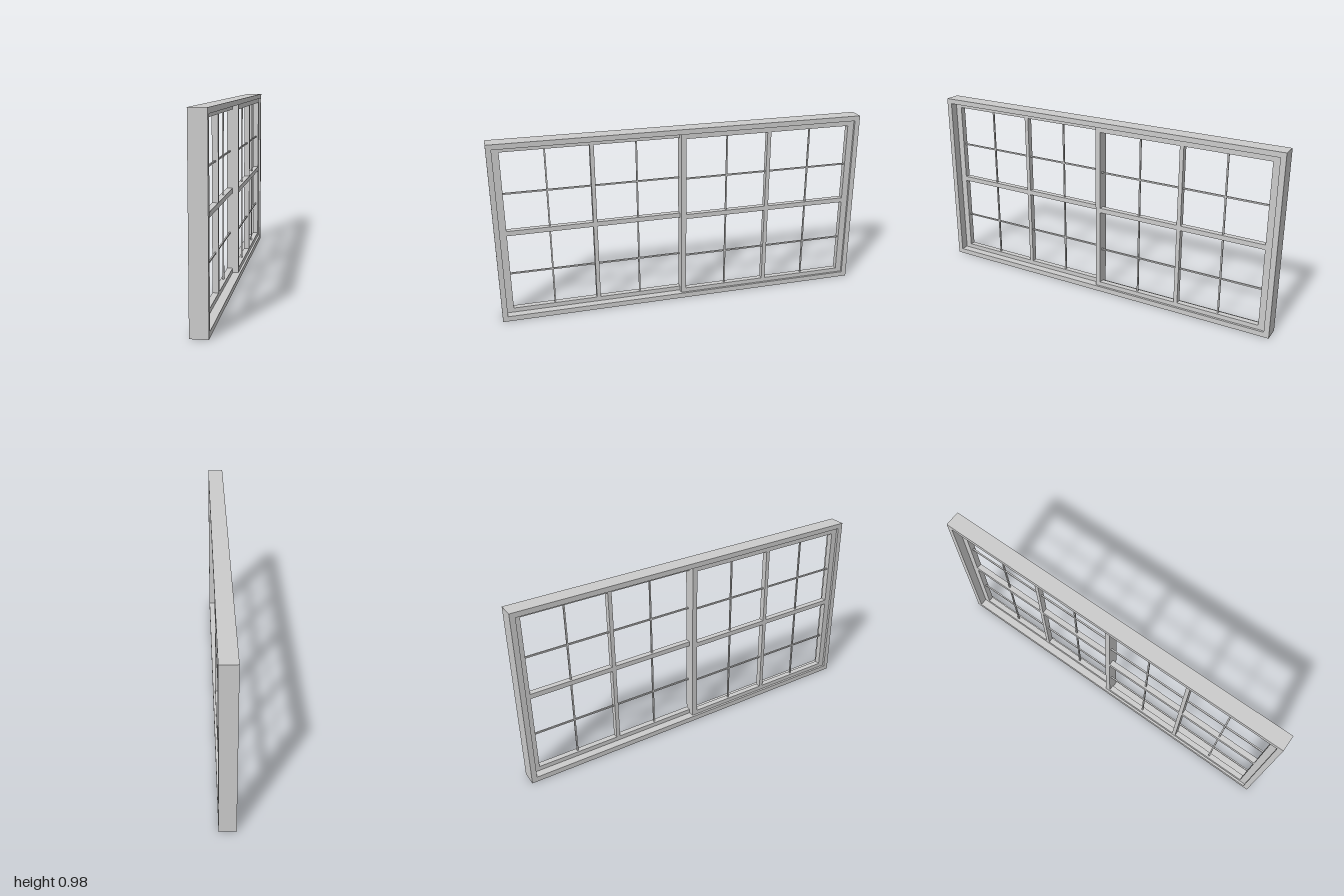
import * as THREE from 'three';

const material = new THREE.MeshStandardMaterial({ color: 0xcccccc });

// Rectangle outline from two corners
function rect(Type, [u0, u1], [v0, v1]) {
  const path = new Type();
  path.moveTo(u0, v0);
  path.lineTo(u1, v0);
  path.lineTo(u1, v1);
  path.lineTo(u0, v1);
  path.closePath();
  return path;
}

// Flat panel with rectangular openings, centred on its depth
function panel(name, u, v, openings, depth) {
  const shape = rect(THREE.Shape, u, v);
  for (const [ou, ov] of openings) shape.holes.push(rect(THREE.Path, ou, ov));
  const geometry = new THREE.ExtrudeGeometry(shape, { depth, bevelEnabled: false });
  geometry.translate(0, 0, -depth / 2);
  const mesh = new THREE.Mesh(geometry, material);
  mesh.name = name;
  return mesh;
}

function bar(name, w, h, d, x, y) {
  const mesh = new THREE.Mesh(new THREE.BoxGeometry(w, h, d), material);
  mesh.name = name;
  mesh.position.set(x, y, 0);
  return mesh;
}

const SASH_DEPTH = 0.031;
const MUNTIN = 0.008;
const columns = [[0.014, 0.937], [0.466, 0.487]]; // opening limits, centre mullion
const rows = [[0.052, 0.925], [0.474, 0.5]]; // opening limits, middle rail

// Sliding sash: four lights, each divided by crossed muntins
function createSash(name) {
  const sash = new THREE.Group();
  sash.name = name;
  const us = [[columns[0][0], columns[1][0]], [columns[1][1], columns[0][1]]];
  const vs = [[rows[0][0], rows[1][0]], [rows[1][1], rows[0][1]]];
  const openings = us.flatMap((u) => vs.map((v) => [u, v]));
  sash.add(panel('sashFrame', [-0.014, 0.972], [0.028, 0.953], openings, SASH_DEPTH));
  const muntinU = [0.243, 0.714];
  const muntinV = [0.252, 0.701];
  us.forEach(([u0, u1], i) => vs.forEach(([v0, v1], j) => {
    sash.add(bar('verticalMuntin', MUNTIN, v1 - v0, MUNTIN, muntinU[i], (v0 + v1) / 2));
    sash.add(bar('horizontalMuntin', u1 - u0, MUNTIN, MUNTIN, (u0 + u1) / 2, muntinV[j]));
  }));
  return sash;
}

export function createModel() {
  const model = new THREE.Group();
  model.name = 'slidingWindow';

  // Outer frame, running along z
  const frame = panel('outerFrame', [-1, 1], [0, 0.98], [[[-0.972, 0.972], [0.028, 0.953]]], 0.086);
  frame.rotation.y = Math.PI / 2;
  model.add(frame);

  // Two sashes on neighbouring tracks, each a half turn of the other
  for (const side of [1, -1]) {
    const sash = createSash(side > 0 ? 'leftTrackSash' : 'rightTrackSash');
    sash.rotation.y = side * Math.PI / 2;
    sash.position.x = side * SASH_DEPTH / 2;
    model.add(sash);
  }
  return model;
}
